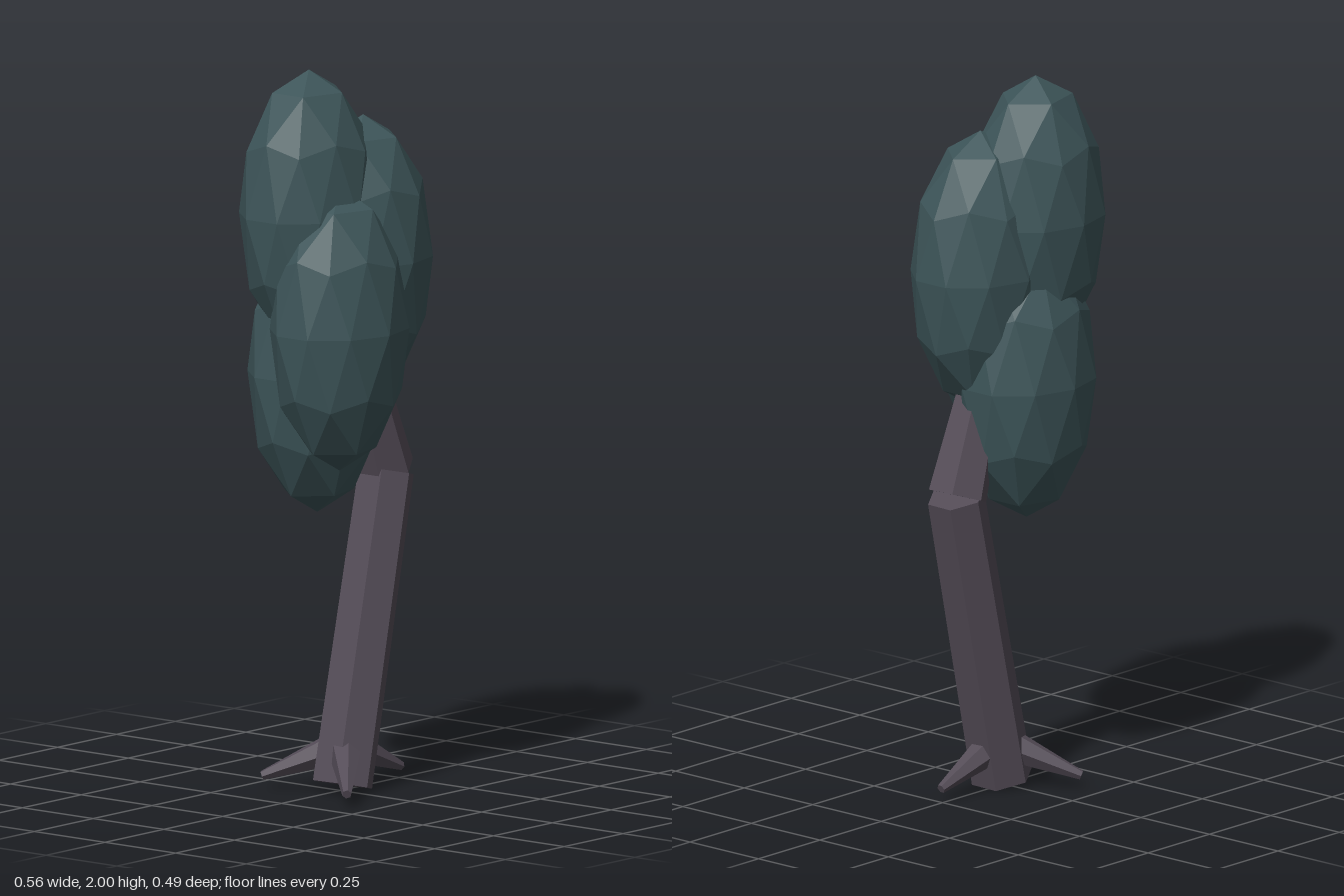
import * as THREE from 'three';

const V = (x, y, z) => new THREE.Vector3(x, y, z);

export function createModel() {
  const tree = new THREE.Group();
  tree.name = 'tree';
  const bark = new THREE.MeshStandardMaterial({ name: 'bark', color: 0x544c57, flatShading: true });
  const leaves = new THREE.MeshStandardMaterial({ name: 'leaves', color: 0x3d5559, flatShading: true });

  // Six-sided tapered limb running from one point to another
  function limb(name, from, to, rFrom, rTo) {
    const dir = to.clone().sub(from);
    const mesh = new THREE.Mesh(new THREE.CylinderGeometry(rTo, rFrom, dir.length(), 6), bark);
    mesh.position.copy(from).add(to).multiplyScalar(0.5);
    mesh.quaternion.setFromUnitVectors(V(0, 1, 0), dir.normalize());
    mesh.name = name;
    tree.add(mesh);
  }

  // Bent trunk in two pieces
  limb('lowerTrunk', V(-0.005, 0.021, 0.012), V(0.201, 0.858, -0.005), 0.087, 0.081);
  limb('upperTrunk', V(0.203, 0.862, -0.013), V(0.075, 1.215, -0.005), 0.085, 0.06);

  // Three pointed roots
  const tips = [V(0.243, 0.037, 0.012), V(-0.182, 0.038, 0.175), V(-0.112, 0.038, -0.183)];
  tips.forEach((tip, i) => limb('root' + (i + 1), V(0.015, 0.128, 0.005), tip, 0.052, 0.013));

  // Faceted foliage clumps, all one size, with a pole pointing up
  const clump = new THREE.IcosahedronGeometry(1, 1);
  clump.rotateX(-Math.atan2((1 + Math.sqrt(5)) / 2, 1));
  clump.rotateY(Math.PI / 2);
  clump.scale(0.2126, 0.393, 0.177);
  clump.computeVertexNormals();
  const centres = {
    topFoliage: V(-0.071, 1.607, -0.052),
    frontFoliage: V(-0.08, 1.299, 0.064),
    sideFoliage: V(0.079, 1.47, 0.015),
    backFoliage: V(-0.016, 1.16, -0.068),
  };
  for (const [name, centre] of Object.entries(centres)) {
    const mesh = new THREE.Mesh(clump, leaves);
    mesh.position.copy(centre);
    mesh.name = name;
    tree.add(mesh);
  }
  return tree;
}
